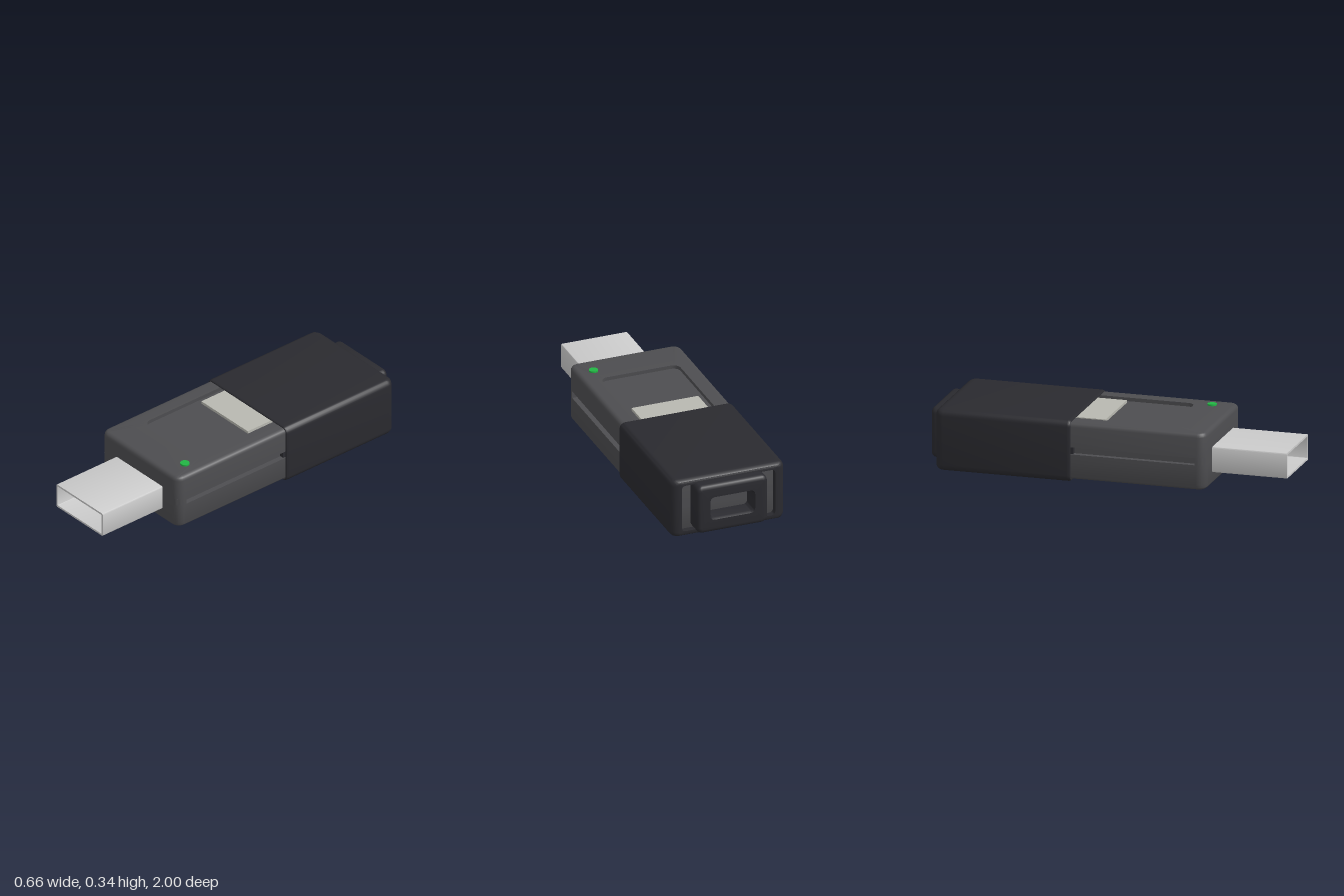
import * as THREE from 'three';
import { toCreasedNormals } from 'three/addons/utils/BufferGeometryUtils.js';

const paint = (color) => new THREE.MeshStandardMaterial({ color });
const bodyMat = paint(0x4d4d50), sleeveMat = paint(0x2a2a2f), metalMat = paint(0xcccccc);
const plateMat = paint(0xb8b8b0), blueMat = paint(0x3355dd), greenMat = paint(0x22b444);

const CORNER = 6;

// Rounded rectangle outline at height t: half sizes a and b, corner radius r, centre shift off
function outline([t, a, b, r, off = 0]) {
  const pts = [];
  [[1, 1], [-1, 1], [-1, -1], [1, -1]].forEach(([sx, sz], q) => {
    for (let i = 0; i <= CORNER; i++) {
      const ang = (q + i / CORNER) * Math.PI / 2;
      pts.push([sx * (a - r) + r * Math.cos(ang), t, off + sz * (b - r) + r * Math.sin(ang)]);
    }
  });
  return pts;
}

// Skin a series of outlines along y, with optional flat ends
function loft(rings, capStart = false, capEnd = false) {
  const loops = rings.map(outline), pos = [], n = loops[0].length;
  const tri = (...p) => p.forEach((v) => pos.push(...v));
  for (let j = 0; j < n; j++) {
    const k = (j + 1) % n;
    for (let i = 0; i < loops.length - 1; i++) {
      const A = loops[i], B = loops[i + 1];
      tri(A[j], B[j], A[k]);
      tri(B[j], B[k], A[k]);
    }
    const first = rings[0], last = rings[rings.length - 1];
    if (capStart) tri([0, first[0], first[4] || 0], loops[0][j], loops[0][k]);
    if (capEnd) tri([0, last[0], last[4] || 0], loops[loops.length - 1][k], loops[loops.length - 1][j]);
  }
  const geo = new THREE.BufferGeometry();
  geo.setAttribute('position', new THREE.Float32BufferAttribute(pos, 3));
  return toCreasedNormals(geo, 0.6);
}

// Outlines of a rounded edge, from the end face at t to the full size at t + depth
function fillet(t, a, b, r, depth, insetA, insetB, off = 0) {
  const rings = [];
  for (let k = 0; k <= 4; k++) {
    const f = k * Math.PI / 8, s = 1 - Math.sin(f);
    const rad = Math.max(r - Math.min(insetA, insetB) * s, 0.005);
    rings.push([t + depth * (1 - Math.cos(f)), a - insetA * s, b - insetB * s, rad, off]);
  }
  return rings;
}

export function createModel() {
  const model = new THREE.Group();
  const add = (name, geo, mat, parent = model) => {
    const mesh = new THREE.Mesh(geo, mat);
    mesh.name = name;
    parent.add(mesh);
    return mesh;
  };
  const box = (name, w, h, d, x, y, z, mat, parent) =>
    add(name, new THREE.BoxGeometry(w, h, d), mat, parent).position.set(x, y, z);
  // Loft running along z, centred at height y
  const alongZ = (rings, y) => loft(rings).rotateX(Math.PI / 2).translate(0, y, 0);

  // Body: lower shell, grooved middle layer, upper shell with a sunken track
  const body = new THREE.Group();
  body.name = 'body';
  model.add(body);
  const A = 0.32, B = 0.74, OFF = -0.16;
  add('lowerShell', loft([
    ...fillet(0.015, A, B, 0.05, 0.025, 0.025, 0.025, OFF),
    [0.155, A, B, 0.05, OFF],
  ], true, true), bodyMat, body);
  add('upperShell', loft([
    [0.195, A, B, 0.05, OFF],
    ...fillet(0.333, A, B, 0.05, -0.025, 0.025, 0.025, OFF).reverse(),
    [0.333, 0.225, 0.4275, 0.04, -0.0725],
    [0.313, 0.225, 0.4275, 0.04, -0.0725],
  ], true, true), bodyMat, body);

  const mid = new THREE.Shape();
  mid.moveTo(-0.29, -0.9);
  mid.lineTo(0.29, -0.9);
  mid.lineTo(0.29, 0.52);
  mid.lineTo(0.32, 0.52);
  mid.lineTo(0.32, 0.53);
  mid.absarc(0.27, 0.53, 0.05, 0, Math.PI / 2);
  mid.lineTo(-0.27, 0.58);
  mid.absarc(-0.27, 0.53, 0.05, Math.PI / 2, Math.PI);
  mid.lineTo(-0.32, 0.52);
  mid.lineTo(-0.29, 0.52);
  const midGeo = new THREE.ExtrudeGeometry(mid, { depth: 0.04, bevelEnabled: false, curveSegments: CORNER });
  midGeo.rotateX(Math.PI / 2).translate(0, 0.195, 0);
  add('groovedLayer', toCreasedNormals(midGeo, 0.6), bodyMat, body);

  // Metal plate lying in the track, and the indicator light
  box('trackPlate', 0.386, 0.016, 0.48, 0, 0.32, -0.26, plateMat);
  add('indicatorLight', new THREE.CylinderGeometry(0.025, 0.025, 0.02, 32), greenMat)
    .position.set(0.225, 0.332, 0.45);

  // Sliding sleeve: back opening, rounded outside, thin front rim
  const sleeve = new THREE.Group();
  sleeve.name = 'sleeve';
  model.add(sleeve);
  const SA = 0.33, SB = 0.171;
  add('sleeveShell', alongZ([
    [-0.905, 0.27, 0.137, 0.02],
    [-0.94, 0.27, 0.137, 0.02],
    ...fillet(-0.94, SA, SB, 0.035, 0.045, 0.045, 0.02),
    ...fillet(-0.178, SA, SB, 0.035, -0.018, 0.008, 0.008).reverse(),
    [-0.178, 0.3215, 0.1625, 0.026],
    [-0.4, 0.3215, 0.1625, 0.026],
  ], 0.171), sleeveMat, sleeve);
  for (const s of [-1, 1])
    box('grooveTab', 0.025, 0.036, 0.085, s * 0.3025, 0.175, -0.2075, sleeveMat, sleeve);

  // Pull loop with its window at the back of the sleeve
  add('pullLoop', alongZ([
    [-0.9, 0.122, 0.06, 0.02],
    [-0.985, 0.122, 0.06, 0.02],
    [-1, 0.13, 0.068, 0.026],
    ...fillet(-1, 0.205, 0.142, 0.035, 0.025, 0.025, 0.025),
    [-0.9, 0.205, 0.142, 0.035],
  ], 0.172), sleeveMat, sleeve);

  // Plug: hollow metal shell, tongue and four contacts
  const plug = new THREE.Group();
  plug.name = 'plug';
  model.add(plug);
  add('plugShell', alongZ([
    [0.55, 0.193, 0.0715, 0.008],
    [1, 0.193, 0.0715, 0.008],
    [1, 0.182, 0.0605, 0.003],
    [0.57, 0.182, 0.0605, 0.003],
  ], 0.1565), metalMat, plug);
  box('tongue', 0.322, 0.046, 0.28, 0, 0.119, 0.71, blueMat, plug);
  for (let i = 0; i < 4; i++)
    box('contact', 0.037, 0.012, 0.23, (i - 1.5) * 0.081, 0.158, 0.69, metalMat, plug);

  return model;
}
